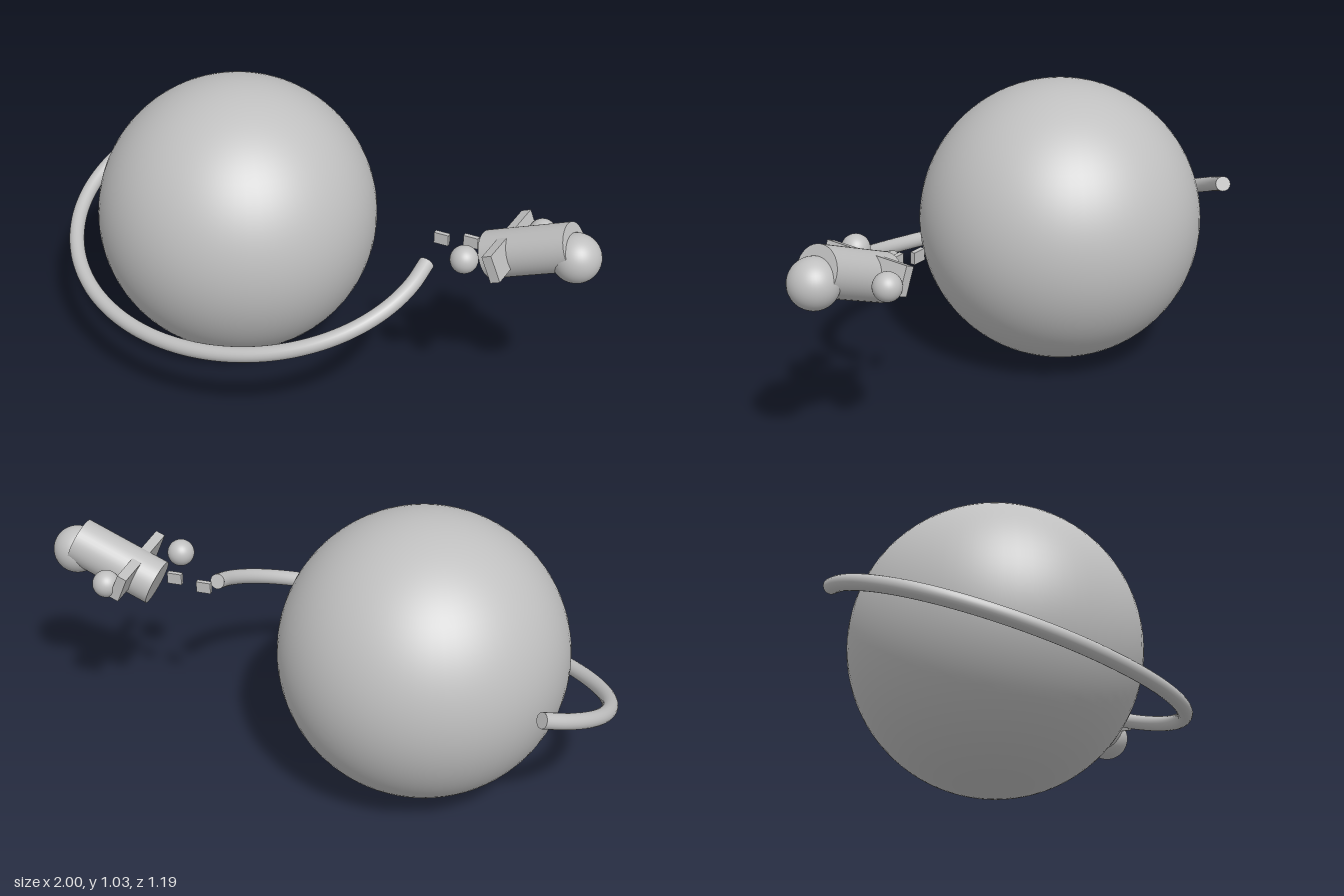
import * as THREE from 'three';

const V = (x, y, z) => new THREE.Vector3(x, y, z);

export function createModel() {
  const model = new THREE.Group();
  model.name = 'planetAndRocket';
  const grey = new THREE.MeshStandardMaterial({ color: 0xc0c0c0 });
  grey.name = 'grey';

  const add = (parent, name, geometry, position = V(0, 0, 0)) => {
    const mesh = new THREE.Mesh(geometry, grey);
    mesh.name = name;
    mesh.position.copy(position);
    parent.add(mesh);
    return mesh;
  };

  // Planet
  add(model, 'planet', new THREE.SphereGeometry(0.515, 64, 48), V(-0.3, 0.518, 0.008));

  // Tilted, open orbit trail, slightly skewed against the planet
  const skew = -0.08, points = [];
  const start = -0.29, end = Math.PI + 0.41;
  for (let i = 0; i <= 24; i++) {
    const t = start + (end - start) * i / 24;
    const z = 0.557 * (skew * Math.cos(t) + Math.sqrt(1 - skew * skew) * Math.sin(t));
    points.push(V(-0.225 + 0.747 * Math.cos(t), 0.518 - 0.402 * z, 0.008 + z));
  }
  const path = new THREE.CatmullRomCurve3(points);
  add(model, 'orbitTrail', new THREE.TubeGeometry(path, 96, 0.028, 20, false));
  for (const [u, sign] of [[0, -1], [1, 1]]) {
    const cap = add(model, 'trailCap', new THREE.CircleGeometry(0.028, 20), path.getPointAt(u));
    cap.quaternion.setFromUnitVectors(V(0, 0, 1), path.getTangentAt(u).multiplyScalar(sign));
  }

  // Rocket frame: local y runs along the body, local z sideways
  const tail = V(0.622, 0.628, -0.37), head = V(0.9, 0.752, -0.475);
  const along = head.clone().sub(tail);
  const length = along.length();
  along.normalize();
  const side = V(-along.z, 0, along.x).normalize();
  const across = along.clone().cross(side);
  const tilt = new THREE.Quaternion().setFromRotationMatrix(
    new THREE.Matrix4().makeBasis(across, along, side));

  const rocket = new THREE.Group();
  rocket.name = 'rocket';
  model.add(rocket);

  add(rocket, 'body', new THREE.CylinderGeometry(0.084, 0.084, length, 40),
    tail.clone().add(head).multiplyScalar(0.5)).quaternion.copy(tilt);
  add(rocket, 'nose', new THREE.SphereGeometry(0.086, 40, 28), V(0.912, 0.712, -0.476));

  // Fins on both sides
  for (const s of [-1, 1]) {
    const at = V(0.691, 0.685, -0.395).addScaledVector(side, s * 0.0855);
    add(rocket, 'fin', new THREE.BoxGeometry(0.1, 0.036, 0.171), at).quaternion.copy(tilt);
  }

  // Round boosters
  for (const at of [V(0.642, 0.679, -0.22), V(0.695, 0.679, -0.548)]) {
    add(rocket, 'booster', new THREE.SphereGeometry(0.049, 32, 24), at);
  }

  // Exhaust dashes behind the rocket
  for (const at of [V(0.455, 0.64, -0.3), V(0.556, 0.659, -0.342)]) {
    add(model, 'exhaustDash', new THREE.BoxGeometry(0.053, 0.042, 0.017), at).rotation.y = 0.4;
  }

  return model;
}
